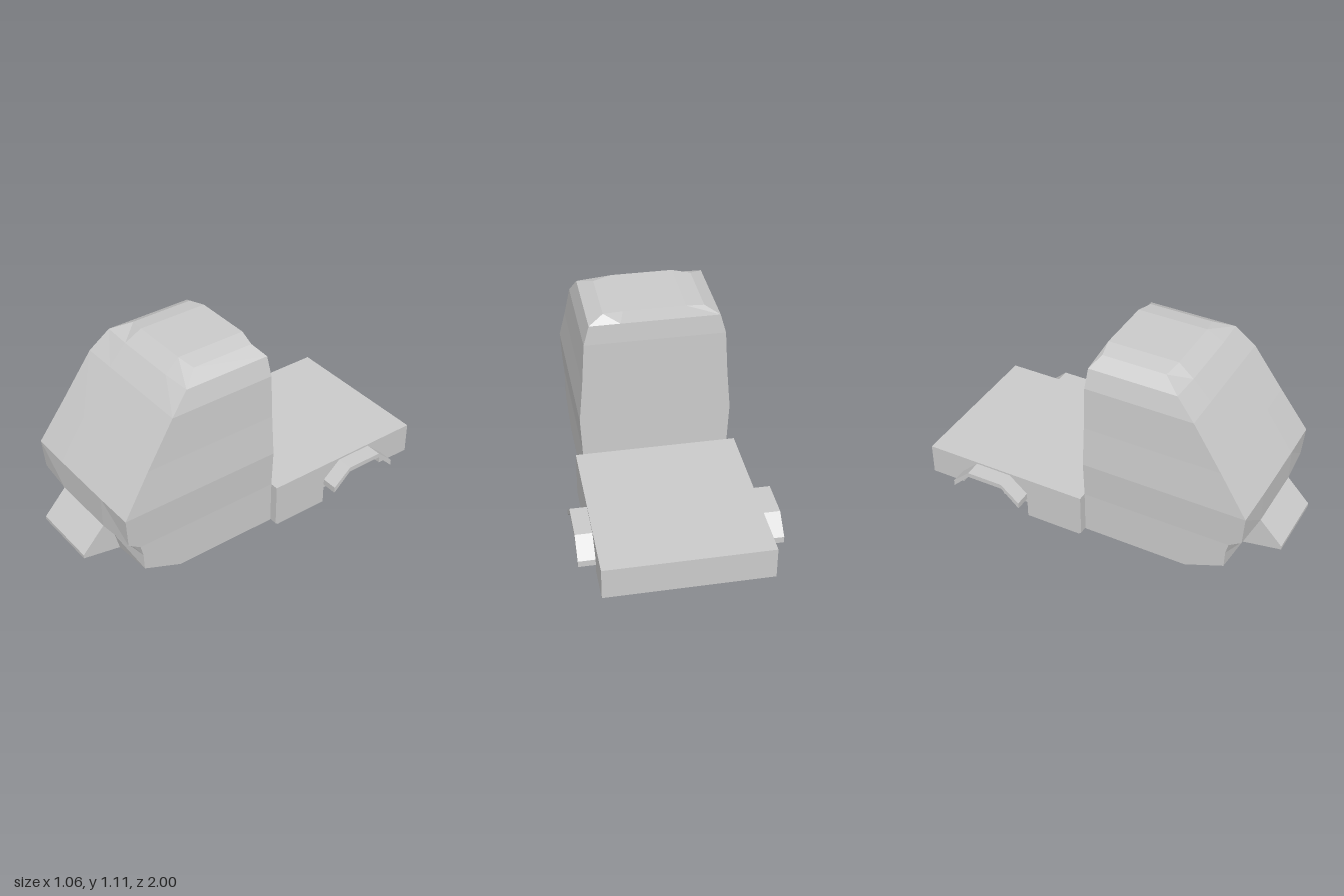
import * as THREE from 'three';

const material = new THREE.MeshStandardMaterial({ color: 0xcccccc, flatShading: true });

function addMesh(parent, name, geometry) {
  const mesh = new THREE.Mesh(geometry, material);
  mesh.name = name;
  parent.add(mesh);
  return mesh;
}

// Extrudes a side outline of [z, y] points across x0..x1
function sideExtrude(points, x0, x1) {
  const shape = new THREE.Shape(points.map(([z, y]) => new THREE.Vector2(z, y)));
  const geometry = new THREE.ExtrudeGeometry(shape, { depth: x1 - x0, bevelEnabled: false });
  return geometry.rotateY(-Math.PI / 2).translate(x1, 0, 0);
}

// Cab levels: outer [y, half width, front z, back z], then the same for the middle
const levels = [
  [[0.015, 0.4, 0.55, -0.045], [0.015, 0.19, 0.55, -0.045]],
  [[0.105, 0.4, 0.77, -0.045], [0.105, 0.19, 0.785, -0.045]],
  [[0.2, 0.4, 0.775, -0.045], [0.2, 0.19, 0.81, -0.045]],
  [[0.26, 0.4, 0.79, -0.045], [0.26, 0.19, 0.83, -0.045]],
  [[0.307, 0.402, 0.86, -0.045], [0.3, 0.19, 0.875, -0.045]],
  [[0.472, 0.41, 0.875, -0.045], [0.472, 0.19, 0.878, -0.045]],
  [[0.7, 0.39, 0.722, -0.045], [0.7, 0.19, 0.725, -0.045]],
  [[0.94, 0.375, 0.56, -0.045], [0.94, 0.18, 0.56, -0.045]],
  [[1.047, 0.345, 0.455, -0.038], [1.047, 0.18, 0.462, -0.038]],
  [[1.092, 0.265, 0.355, 0], [1.108, 0.165, 0.375, -0.02]],
];

function cabGeometry() {
  const rings = levels.map(([[y, w, f, b], [ym, m, fm, bm]]) => [
    [w, y, b], [w, y, f], [m, ym, fm], [-m, ym, fm],
    [-w, y, f], [-w, y, b], [-m, ym, bm], [m, ym, bm],
  ]);
  const positions = [];
  const quad = (a, b, c, d) => positions.push(...a, ...b, ...c, ...a, ...c, ...d);
  for (let r = 0; r < rings.length - 1; r++) {
    const low = rings[r], high = rings[r + 1];
    for (let i = 0; i < 8; i++) {
      // The lower middle of the front is left open for the nose
      if (i === 2 && r < 4) continue;
      const j = (i + 1) % 8;
      quad(low[i], high[i], high[j], low[j]);
    }
  }
  // Roof and floor
  const roof = rings[rings.length - 1], floor = rings[0];
  for (const [a, b, c, d] of [[0, 7, 2, 1], [7, 6, 3, 2], [6, 5, 4, 3]]) {
    quad(roof[a], roof[b], roof[c], roof[d]);
    quad(floor[d], floor[c], floor[b], floor[a]);
  }
  const geometry = new THREE.BufferGeometry();
  geometry.setAttribute('position', new THREE.Float32BufferAttribute(positions, 3));
  geometry.computeVertexNormals();
  return geometry;
}

export function createModel() {
  const model = new THREE.Group();
  model.name = 'truckCab';

  addMesh(model, 'cab', cabGeometry());

  // Wedge nose with a notch underneath
  const nose = new THREE.Group();
  nose.name = 'nose';
  model.add(nose);
  const noseTop = [[1, 0.145], [1, 0.165], [0.872, 0.302], [0.4, 0.3]];
  addMesh(nose, 'noseCentre', sideExtrude(
    [[0.4, 0.03], [0.549, 0.016], [0.549, 0.14], [0.98, 0.14], ...noseTop], -0.145, 0.145));
  const cheek = [[0.4, 0.03], [0.55, 0.016], [0.775, 0.105], ...noseTop];
  addMesh(nose, 'noseCheekLeft', sideExtrude(cheek, 0.145, 0.19));
  addMesh(nose, 'noseCheekRight', sideExtrude(cheek, -0.19, -0.145));

  // Stepped chassis deck, narrower between the wheel wells
  const chassis = new THREE.Group();
  chassis.name = 'chassis';
  model.add(chassis);
  const front = [[-0.05, 0.255], [-0.05, 0.012], [-0.065, 0]];
  addMesh(chassis, 'chassisCore', sideExtrude(
    [...front, [-0.6, 0], [-0.6, 0.08], [-1, 0.08], [-1, 0.255]], -0.35, 0.35));

  // Side rails with the wheel wells cut out, and the arches over them
  const well = [[-0.385, 0.12], [-0.49, 0.218], [-0.7, 0.218], [-0.8, 0.12]];
  const rail = [...front, [-0.385, 0], ...well, [-0.8, 0.08], [-1, 0.08], [-1, 0.255]];
  const arch = [...well, [-0.8, 0.155], [-0.7, 0.245], [-0.49, 0.245], [-0.385, 0.155]];
  for (const [side, name] of [[1, 'Left'], [-1, 'Right']]) {
    const span = (a, b) => (side > 0 ? [a, b] : [-b, -a]);
    addMesh(chassis, 'sideRail' + name, sideExtrude(rail, ...span(0.35, 0.44)));
    addMesh(chassis, 'wheelArch' + name, sideExtrude(arch, ...span(0.44, 0.53)));
  }
  return model;
}
